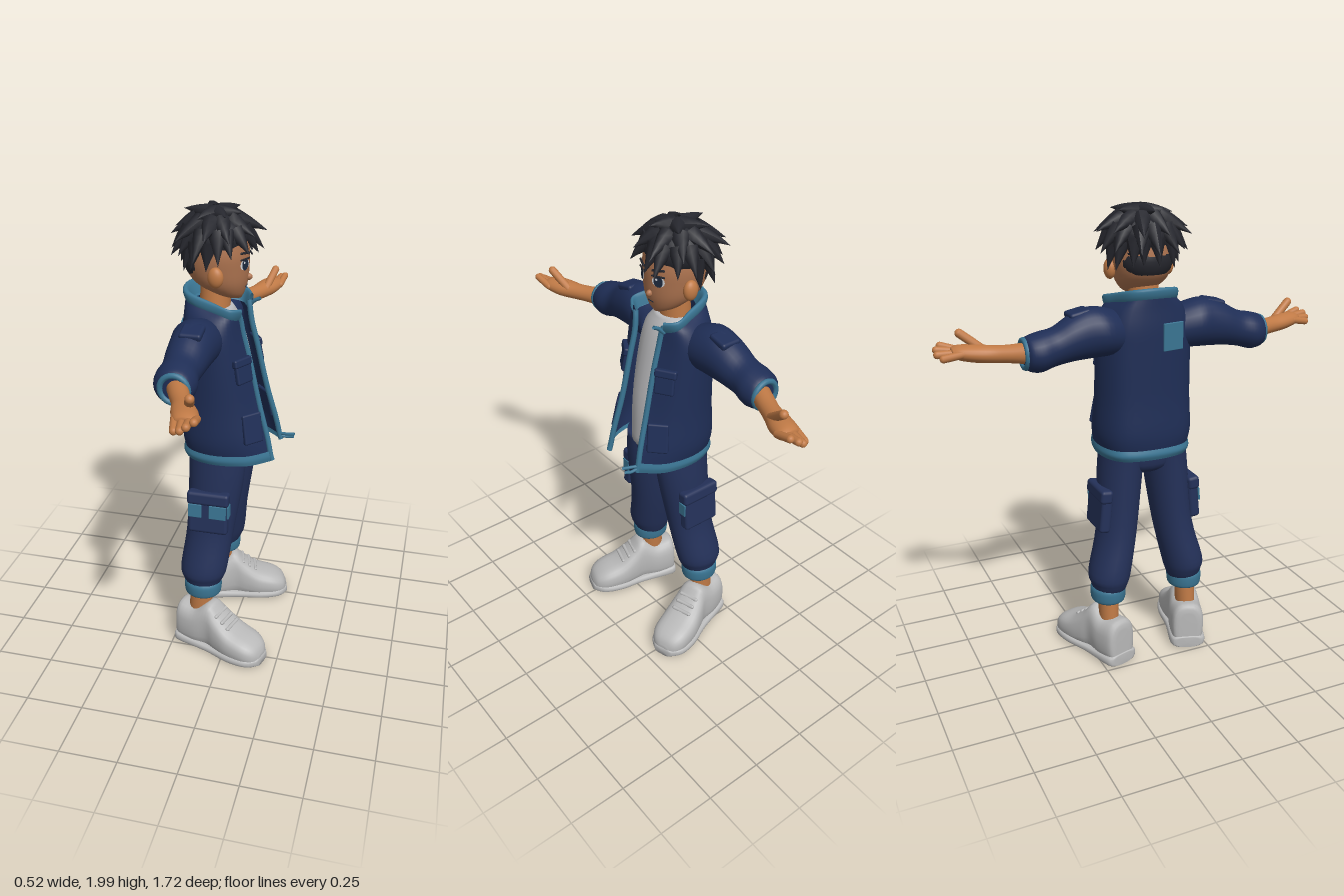
import * as THREE from 'three';
import { mergeVertices } from 'three/addons/utils/BufferGeometryUtils.js';
import { RoundedBoxGeometry } from 'three/addons/geometries/RoundedBoxGeometry.js';

const mat = (name, hex, side = THREE.FrontSide) => {
  const m = new THREE.MeshStandardMaterial({ color: hex, side });
  m.name = name;
  return m;
};

// Uniform Catmull-Rom through rows of numbers
function smooth(rows, n) {
  const out = [], at = i => rows[Math.max(0, Math.min(rows.length - 1, i))];
  for (let i = 0; i < rows.length - 1; i++) for (let k = 0; k < n; k++) {
    const t = k / n;
    out.push(rows[i].map((b, c) => {
      const a = at(i - 1)[c], d = at(i + 1)[c], e = at(i + 2)[c];
      return b + 0.5 * t * (d - a + t * (2 * a - 5 * b + 4 * d - e + t * (3 * (b - d) + e - a)));
    }));
  }
  out.push(rows[rows.length - 1]);
  return out;
}

function build(pos, idx) {
  const g = new THREE.BufferGeometry();
  g.setAttribute('position', new THREE.Float32BufferAttribute(pos, 3));
  g.setIndex(idx);
  g.computeVertexNormals();
  return g;
}

// Closed tube of elliptical sections; rows [x, y, z, ru, rv] ascend along the axis
const PLANE = { x: [2, 1], y: [0, 2], z: [1, 0] };
// (u, v) order per axis keeps faces pointing outward
PLANE.x = [1, 2].reverse();
function loft(axis, rows, power = 1, seg = 24, sub = 4) {
  const [u, v] = PLANE[axis], R = smooth(rows, sub), pos = [], idx = [];
  const bend = c => Math.sign(c) * Math.abs(c) ** power;
  R.forEach(r => {
    for (let j = 0; j < seg; j++) {
      const a = j / seg * Math.PI * 2, p = r.slice(0, 3);
      p[u] += r[3] * bend(Math.cos(a));
      p[v] += r[4] * bend(Math.sin(a));
      pos.push(...p);
    }
  });
  const last = (R.length - 1) * seg, c0 = R.length * seg;
  pos.push(...R[0].slice(0, 3), ...R[R.length - 1].slice(0, 3));
  for (let j = 0; j < seg; j++) {
    const k = (j + 1) % seg;
    for (let i = 0; i < last; i += seg) idx.push(i + j, i + seg + j, i + k, i + k, i + seg + j, i + seg + k);
    idx.push(c0, j, k, c0 + 1, last + k, last + j);
  }
  return build(pos, idx);
}

// Garment shell open at the front; rows [y, edgeX, edgeZ, halfWidth, backZ, backRise]
function shell(rows, sub = 4, seg = 40) {
  const pos = [], idx = [], R = smooth(rows, sub);
  R.forEach(([y, ex, ez, w, zb, rise]) => {
    const half = [[ex, ez], [(ex + w) / 2 + 0.03, ez * 0.55 - 0.02], [w, -0.07], [w * 0.72, zb + 0.03]];
    const pts = [...half, [0, zb], ...half.slice().reverse().map(([x, z]) => [-x, z])];
    smooth(pts, seg / 8).forEach(([x, z]) => pos.push(x, y + rise * (ez - z) / (ez - zb), z));
  });
  const n = seg + 1;
  for (let i = 0; i < R.length - 1; i++) for (let j = 0; j < seg; j++) {
    const a = i * n + j;
    idx.push(a, a + 1, a + n, a + 1, a + n + 1, a + n);
  }
  return build(pos, idx);
}

function mirrored(geo) {
  const g = mergeVertices(geo.clone().scale(-1, 1, 1)), ix = g.index;
  for (let i = 0; i < ix.count; i += 3) {
    const b = ix.getX(i + 1);
    ix.setX(i + 1, ix.getX(i + 2));
    ix.setX(i + 2, b);
  }
  return g;
}

const ball = (x, y, z, rx, ry, rz) => new THREE.SphereGeometry(1, 24, 16).scale(rx, ry, rz).translate(x, y, z);
const box = (w, h, d, r, [x, y, z], rx = 0, ry = 0, rz = 0) => new RoundedBoxGeometry(w, h, d, 2, r)
  .applyMatrix4(new THREE.Matrix4().makeRotationFromEuler(new THREE.Euler(rx, ry, rz, 'YXZ')).setPosition(x, y, z));
const tube = (pts, r) => new THREE.TubeGeometry(
  new THREE.CatmullRomCurve3(pts.map(p => new THREE.Vector3(...p))), pts.length * 6, r, 8);
const UP = new THREE.Vector3(0, 1, 0);
function capsule(p, q, r) {
  const a = new THREE.Vector3(...p), d = new THREE.Vector3(...q).sub(a), len = d.length();
  return new THREE.CapsuleGeometry(r, len, 5, 12).translate(0, len / 2, 0)
    .applyQuaternion(new THREE.Quaternion().setFromUnitVectors(UP, d.normalize())).translate(...p);
}

export function createModel() {
  const navy = mat('jacketNavy', 0x1f2e56, THREE.DoubleSide), pantsBlue = mat('trouserNavy', 0x243159);
  const teal = mat('teal', 0x3a7593, THREE.DoubleSide), grey = mat('shirtGrey', 0xbcbcbe);
  const shoeGrey = mat('shoeGrey', 0xb9b9b9), skin = mat('skin', 0xc07a46), faceSkin = mat('faceSkin', 0xae7450);
  const hairMat = mat('hairBlack', 0x26272e), eyeDark = mat('eyeDark', 0x1d2b40), white = mat('eyeWhite', 0xd8dadd);

  const model = new THREE.Group(), body = new THREE.Group();
  model.name = 'figure';
  body.name = 'body';
  body.rotation.y = Math.PI / 2; // the figure looks along +x
  model.add(body);
  const add = (name, geo, m, parent = body) => {
    const mesh = new THREE.Mesh(geo, m);
    mesh.name = name;
    parent.add(mesh);
  };
  const pair = (name, geo, m) => {
    add(name + 'Left', geo, m);
    add(name + 'Right', mirrored(geo), m);
  };

  // Trousers, cuffs and cargo pockets
  add('hips', loft('y', [[0, 0.87, -0.06, 0.09, 0.09], [0, 0.91, -0.06, 0.17, 0.12], [0, 1.03, -0.06, 0.175, 0.125]]), pantsBlue);
  pair('trouserLeg', loft('y', [[0.18, 0.33, -0.11, 0.07, 0.075], [0.18, 0.365, -0.11, 0.082, 0.092],
    [0.176, 0.42, -0.106, 0.092, 0.105], [0.135, 0.6, -0.085, 0.087, 0.106],
    [0.11, 0.84, -0.063, 0.094, 0.121], [0.095, 0.99, -0.06, 0.095, 0.125]]), pantsBlue);
  pair('trouserCuff', loft('y', [[0.187, 0.28, -0.11, 0.066, 0.072], [0.187, 0.292, -0.11, 0.075, 0.082],
    [0.187, 0.335, -0.11, 0.077, 0.084], [0.185, 0.355, -0.11, 0.068, 0.074]]), teal);
  pair('cargoPocket', box(0.05, 0.18, 0.175, 0.015, [0.207, 0.71, -0.075], 0, 0, 0.1), pantsBlue);
  pair('pocketFlap', box(0.055, 0.06, 0.185, 0.015, [0.205, 0.785, -0.075], 0, 0, 0.1), pantsBlue);
  pair('pocketTab', box(0.04, 0.06, 0.008, 0.003, [0.207, 0.73, 0.014]), teal);
  [[-0.13, 0.06], [-0.03, 0.075]].forEach(([z, w]) =>
    add('pocketPatch', box(0.009, 0.062, w, 0.003, [-0.232, 0.73, z], 0, 0, -0.1), teal));

  // Ankles and shoes
  pair('ankle', loft('y', [[0.19, 0.15, -0.125, 0.042, 0.052], [0.188, 0.3, -0.115, 0.045, 0.052]]), skin);
  const shoeRow = (z, h, w) => [0, h / 2, z, h / 2, w];
  const place = g => g.rotateY(0.3).translate(0.19, 0, -0.13);
  pair('shoe', place(loft('z', [shoeRow(-0.095, 0.17, 0.04), shoeRow(-0.08, 0.21, 0.07), shoeRow(0, 0.205, 0.077),
    shoeRow(0.07, 0.245, 0.07), shoeRow(0.12, 0.2, 0.08), shoeRow(0.19, 0.145, 0.09), shoeRow(0.27, 0.115, 0.085),
    shoeRow(0.315, 0.085, 0.06), shoeRow(0.332, 0.05, 0.025)], 0.75)), shoeGrey);
  pair('sole', place(loft('z', [shoeRow(-0.1, 0.05, 0.05), shoeRow(-0.075, 0.055, 0.08), shoeRow(0.08, 0.04, 0.08),
    shoeRow(0.2, 0.045, 0.097), shoeRow(0.29, 0.045, 0.085), shoeRow(0.335, 0.04, 0.04)], 0.6)), shoeGrey);
  [[0.115, 0.203], [0.145, 0.181], [0.175, 0.158]].forEach(([z, y]) =>
    pair('lace', place(capsule([-0.04, y - 0.008, z], [0.04, y - 0.008, z], 0.009)), shoeGrey));

  // Shirt and neck
  add('shirt', loft('y', [[0, 1.0, -0.04, 0.13, 0.14], [0, 1.2, -0.05, 0.135, 0.14], [0, 1.4, -0.07, 0.14, 0.12],
    [0, 1.52, -0.085, 0.13, 0.1], [0.005, 1.585, -0.09, 0.08, 0.07]]), grey);
  add('neck', loft('y', [[0.005, 1.54, -0.095, 0.07, 0.065], [0.012, 1.7, -0.09, 0.06, 0.06]]), skin);

  // Open jacket with collar, hem, front trim and pockets
  const rows = [[0.97, 0.1, 0.172, 0.193, -0.208, 0], [1.05, 0.095, 0.155, 0.21, -0.22, 0], [1.2, 0.085, 0.115, 0.205, -0.215, 0],
    [1.4, 0.08, 0.07, 0.205, -0.215, 0], [1.5, 0.08, 0.045, 0.2, -0.215, 0], [1.56, 0.085, 0.035, 0.17, -0.21, 0.02],
    [1.585, 0.092, 0.03, 0.13, -0.208, 0.045]];
  add('jacket', shell(rows), navy);
  add('jacketHem', shell([[0.945, 0.1, 0.18, 0.195, -0.21, 0], [0.968, 0.101, 0.182, 0.204, -0.219, 0], [0.992, 0.1, 0.175, 0.2, -0.213, 0]]), teal);
  add('collar', shell([[1.55, 0.085, 0.03, 0.125, -0.19, 0.05], [1.58, 0.1, 0.04, 0.137, -0.212, 0.055],
    [1.605, 0.105, 0.045, 0.135, -0.217, 0.06], [1.607, 0.097, 0.035, 0.12, -0.2, 0.06], [1.56, 0.085, 0.02, 0.105, -0.175, 0.06]]), teal);
  pair('frontTrim', tube([[0.1, 0.95, 0.178], ...rows.map(([y, x, z]) => [x, y, z])], 0.012), teal);
  pair('chestPocket', box(0.085, 0.1, 0.022, 0.008, [0.135, 1.36, 0.058], -0.2, 0.55), navy);
  pair('chestFlap', box(0.095, 0.035, 0.028, 0.008, [0.135, 1.4, 0.052], -0.2, 0.55), navy);
  pair('sidePocket', box(0.09, 0.13, 0.022, 0.008, [0.142, 1.11, 0.099], -0.2, 0.77), navy);
  add('hemCord', tube([[0.1, 0.975, 0.17], [0.09, 0.98, 0.21], [0.085, 0.985, 0.24]], 0.007), teal);
  add('hemCord', tube([[0.1, 0.965, 0.17], [0.1, 0.962, 0.21], [0.095, 0.968, 0.235]], 0.007), teal);
  add('collarCord', tube([[0.095, 1.56, 0.03], [0.09, 1.585, 0.055], [0.088, 1.597, 0.078]], 0.008), teal);
  add('backPatch', box(0.095, 0.115, 0.009, 0.003, [-0.07, 1.47, -0.213], 0, 0.17), teal);

  // Sleeves, forearms and hands
  pair('sleeve', loft('x', [[0.11, 1.48, -0.1, 0.085, 0.085], [0.2, 1.495, -0.115, 0.1, 0.1], [0.27, 1.495, -0.115, 0.092, 0.103],
    [0.34, 1.48, -0.118, 0.085, 0.092], [0.41, 1.455, -0.122, 0.076, 0.078], [0.47, 1.44, -0.122, 0.085, 0.08],
    [0.515, 1.437, -0.12, 0.075, 0.07], [0.53, 1.436, -0.115, 0.055, 0.055]]), navy);
  pair('sleevePocket', box(0.09, 0.03, 0.09, 0.012, [0.3, 1.575, -0.105], 0, 0, -0.2), navy);
  pair('sleeveTrim', new THREE.TorusGeometry(0.055, 0.012, 8, 24).rotateY(Math.PI / 2).translate(0.528, 1.436, -0.113), teal);
  pair('forearm', loft('x', [[0.5, 1.436, -0.11, 0.045, 0.045], [0.58, 1.433, -0.075, 0.042, 0.036], [0.64, 1.432, -0.047, 0.042, 0.035],
    [0.7, 1.435, -0.022, 0.052, 0.036], [0.76, 1.44, -0.003, 0.05, 0.03], [0.79, 1.443, 0.003, 0.035, 0.016]]), skin);
  [[-0.042, -0.025, 0.825, 1.425], [-0.014, 0.002, 0.843, 1.437], [0.014, 0.024, 0.842, 1.452], [0.036, 0.046, 0.822, 1.463]]
    .forEach(([z0, z1, x, y]) => pair('finger', capsule([0.75, 1.44, z0], [x, y, z1], 0.0155), skin));
  pair('thumb', capsule([0.665, 1.445, -0.015], [0.75, 1.513, 0.012], 0.018), skin);

  // Head, ears and face
  const cx = 0.015;
  add('head', loft('y', [[cx, 1.622, -0.015, 0.025, 0.03], [cx, 1.645, -0.038, 0.068, 0.065], [cx, 1.69, -0.07, 0.105, 0.11],
    [cx, 1.75, -0.085, 0.121, 0.13], [cx, 1.82, -0.085, 0.125, 0.13], [cx, 1.9, -0.085, 0.105, 0.11],
    [cx, 1.945, -0.085, 0.05, 0.05]], 1, 32), faceSkin);
  add('nose', ball(cx + 0.005, 1.708, 0.043, 0.012, 0.014, 0.016), faceSkin);
  add('mouth', box(0.035, 0.005, 0.006, 0.002, [cx, 1.672, 0.034]), eyeDark);
  for (const s of [-1, 1]) {
    add('ear', ball(cx + s * 0.128, 1.735, -0.06, 0.024, 0.042, 0.032), skin);
    const eye = new THREE.Group();
    eye.name = s > 0 ? 'eyeLeft' : 'eyeRight';
    eye.position.set(cx + 0.004 + s * 0.05, 1.772, 0.039);
    eye.rotation.y = s * 0.42;
    body.add(eye);
    add('eyeWhite', new THREE.CircleGeometry(1, 24).scale(0.028, 0.022, 1), white, eye);
    add('iris', new THREE.CircleGeometry(1, 24).scale(0.02, 0.023, 1).translate(0, 0, 0.002), eyeDark, eye);
    add('eyeGlint', new THREE.CircleGeometry(0.005, 12).translate(-0.007, 0.009, 0.004), white, eye);
    add('lashes', box(0.058, 0.007, 0.006, 0.002, [0, 0.022, 0.002]), hairMat, eye);
    add('brow', box(0.056, 0.009, 0.008, 0.003, [0, 0.046, 0.001], 0, 0, s * 0.12), hairMat, eye);
  }

  // Hair cap and tousled locks
  let seed = 7;
  const rnd = () => (seed = (seed * 16807) % 2147483647) / 2147483647;
  const hair = new THREE.Group();
  hair.name = 'hair';
  body.add(hair);
  add('hairCap', ball(0.02, 1.868, -0.09, 0.136, 0.102, 0.132), hairMat, hair);
  add('hairNape', ball(0.015, 1.775, -0.128, 0.112, 0.095, 0.092), hairMat, hair);
  // [elevation in degrees, count, length, largest forwardness that still gets a lock]
  [[78, 6, 0.1, 2], [48, 10, 0.11, 2], [20, 14, 0.095, 2], [-8, 14, 0.085, 0.1], [-38, 13, 0.09, -0.3]].forEach(([deg, n, len, limit], ring) => {
    for (let i = 0; i < n; i++) {
      const a = (i + 0.5 * (ring % 2) + 0.4 * (rnd() - 0.5)) / n * Math.PI * 2, e = deg * Math.PI / 180;
      if (Math.cos(a) > limit) continue;
      const out = new THREE.Vector3(Math.sin(a) * Math.cos(e), Math.sin(e), Math.cos(a) * Math.cos(e));
      const down = new THREE.Vector3(Math.sin(a) * Math.sin(e), -Math.cos(e), Math.cos(a) * Math.sin(e));
      const dir = down.addScaledVector(out, 0.4 + 0.3 * rnd()).normalize(), L = len * (0.9 + 0.35 * rnd());
      const g = new THREE.ConeGeometry(0.04, L, 8, 4).translate(0, L / 2, 0), p = g.attributes.position;
      g.applyQuaternion(new THREE.Quaternion().setFromUnitVectors(UP, dir));
      for (let k = 0; k < p.count; k++) { // droop towards the tip
        const t = (p.getX(k) * dir.x + p.getY(k) * dir.y + p.getZ(k) * dir.z) / L;
        p.setY(k, p.getY(k) - 0.022 * t * t);
      }
      g.computeVertexNormals();
      g.translate(0.02 + out.x * 0.118, 1.868 + out.y * 0.088, -0.09 + out.z * 0.112);
      add('hairLock', g, hairMat, hair);
    }
  });
  return model;
}
